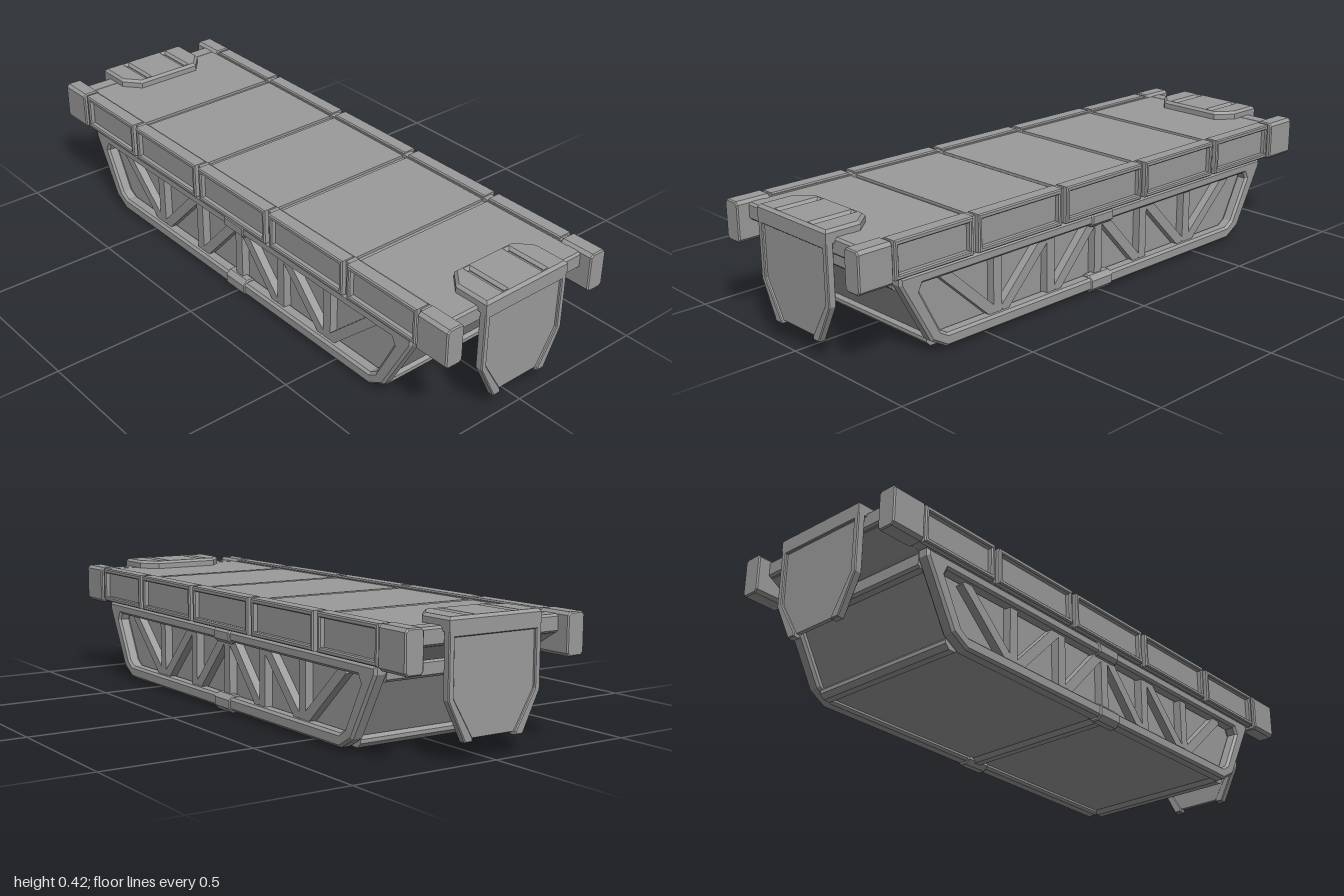
import * as THREE from 'three';

const material = new THREE.MeshStandardMaterial({ color: 0x9b9b9b, flatShading: true });

// Extrudes an outline, centred on its depth, with chamfers kept inside the given size
function slab(points, thickness, bevel = 0, holes = []) {
  const toVectors = (list) => list.map(([x, y]) => new THREE.Vector2(x, y));
  const shape = new THREE.Shape(toVectors(points));
  for (const h of holes) shape.holes.push(new THREE.Path(toVectors(h)));
  const geometry = new THREE.ExtrudeGeometry(shape, {
    depth: thickness - 2 * bevel, bevelEnabled: bevel > 0, bevelSize: bevel,
    bevelThickness: bevel, bevelOffset: -bevel, bevelSegments: 1, steps: 1,
  });
  return geometry.translate(0, 0, -(thickness - 2 * bevel) / 2);
}

// Same, with the outline in the side plane and the thickness along x
const sideSlab = (...args) => slab(...args).rotateY(Math.PI / 2);

const rect = (x0, x1, y0, y1) => [[x0, y0], [x1, y0], [x1, y1], [x0, y1]];

// Rectangle with its four corners cut
const cutRect = (x0, x1, y0, y1, c) => [
  [x0 + c, y0], [x1 - c, y0], [x1, y0 + c], [x1, y1 - c],
  [x1 - c, y1], [x0 + c, y1], [x0, y1 - c], [x0, y0 + c],
];

// Completes the right half of an outline by mirroring it
const mirrored = (half) => [...half, ...half.slice().reverse().map(([x, y]) => [-x, y])];

function add(parent, name, geometry, x = 0, y = 0, z = 0) {
  const mesh = new THREE.Mesh(geometry, material);
  mesh.name = name;
  mesh.position.set(x, y, z);
  parent.add(mesh);
  return mesh;
}

const box = (w, h, d) => new THREE.BoxGeometry(w, h, d);

// The five bays along the length
const bays = [[-0.868, -0.57], [-0.55, -0.198], [-0.178, 0.178], [0.198, 0.55], [0.57, 0.868]];

function buildDeck() {
  const deck = new THREE.Group();
  deck.name = 'deck';
  const profile = mirrored([[0.85, 0.278], [0.945, 0.335], [0.945, 0.383]]);
  add(deck, 'deckCore', sideSlab(profile, 0.54));
  bays.forEach(([z0, z1], i) => {
    const a = i === 0 ? -0.905 : z0;
    const b = i === 4 ? 0.905 : z1;
    add(deck, 'deckPanel', box(0.534, 0.02, b - a), 0, 0.382, (a + b) / 2);
  });
  for (const s of [-1, 1]) {
    add(deck, 'endBeam', sideSlab(cutRect(-0.03, 0.03, -0.028, 0.028, 0.007), 0.56), 0, 0.365, s * 0.928);
  }
  return deck;
}

function buildRail() {
  const rail = new THREE.Group();
  rail.name = 'sideRail';
  add(rail, 'railCore', box(0.037, 0.114, 1.8), 0.2885, 0.338, 0);
  for (const [z0, z1] of bays) {
    const mid = (z0 + z1) / 2;
    const half = (z1 - z0) / 2;
    // Recessed outer panel frame
    add(rail, 'railFrame', sideSlab(rect(-half, half, 0.278, 0.4), 0.025, 0.004,
      [rect(-half + 0.015, half - 0.015, 0.294, 0.383)]), 0.3125, 0, mid);
    add(rail, 'railCap', slab(cutRect(0.274, 0.314, 0.385, 0.4, 0.004), half * 2), 0, 0, mid);
  }
  for (const s of [-1, 1]) {
    add(rail, 'railEndBlock', slab(cutRect(0.265, 0.33, 0.27, 0.402, 0.01), 0.122, 0.004), 0, 0, s * 0.939);
  }
  return rail;
}

function buildTruss() {
  const truss = new THREE.Group();
  truss.name = 'sideTruss';
  const outer = mirrored([[0.67, 0.01], [0.73, 0.045], [0.842, 0.25], [0.842, 0.275]]);
  const inner = mirrored([[0.665, 0.053], [0.693, 0.07], [0.768, 0.215], [0.757, 0.238]]);
  add(truss, 'trussFrame', sideSlab(outer, 0.046, 0.008, [inner]), 0.289);
  // Posts and braces
  const strut = (z0, y0, z1, y1) => {
    const length = Math.hypot(z1 - z0, y1 - y0) + 0.02;
    const bar = add(truss, 'strut', box(0.03, 0.034, length), 0.28, (y0 + y1) / 2, (z0 + z1) / 2);
    bar.rotation.x = -Math.atan2(y1 - y0, z1 - z0);
  };
  for (const z of [-0.45, -0.22, 0, 0.22, 0.45]) strut(z, 0.045, z, 0.245);
  for (const s of [-1, 1]) {
    strut(s * 0.66, 0.235, s * 0.47, 0.06);
    strut(s * 0.25, 0.235, s * 0.42, 0.06);
    strut(s * 0.19, 0.06, s * 0.03, 0.235);
  }
  // Clamps at mid length
  add(truss, 'upperClamp', slab(cutRect(0.258, 0.317, 0.23, 0.28, 0.012), 0.1, 0.004));
  add(truss, 'lowerClamp', slab(cutRect(0.262, 0.316, 0, 0.06, 0.016), 0.1, 0.004));
  return truss;
}

function buildTub() {
  const tub = new THREE.Group();
  tub.name = 'tub';
  const profile = mirrored([[0.685, 0.025], [0.71, 0.05], [0.82, 0.25], [0.82, 0.278]]);
  add(tub, 'tubBody', sideSlab(profile, 0.534));
  for (const z of [-0.69, 0, 0.69]) {
    add(tub, 'bottomCrossBeam', sideSlab(cutRect(-0.028, 0.028, 0.011, 0.053, 0.015), 0.54), 0, 0, z);
  }
  for (const s of [-1, 1]) {
    add(tub, 'topCrossBeam', sideSlab(cutRect(-0.022, 0.022, 0.225, 0.277, 0.008), 0.54), 0, 0, s * 0.818);
  }
  return tub;
}

function buildFlap() {
  const flap = new THREE.Group();
  flap.name = 'endFlap';
  // Hanging plate with a raised rim, open at the bottom
  const plate = mirrored([[0.085, 0.07], [0.105, 0.07], [0.165, 0.188], [0.165, 0.4]]);
  add(flap, 'flapPlate', slab(plate, 0.014), 0, 0, 0.974);
  const rim = mirrored([[0.15, 0.362], [0.15, 0.19], [0.08, 0.072], [0.08, 0.06], [0.108, 0.06], [0.17, 0.185], [0.17, 0.408]]);
  add(flap, 'flapRim', slab(rim, 0.026, 0.003), 0, 0, 0.977);
  // Cap resting on the deck, with two slots
  const half = [[0.12, -0.81], [0.17, -0.868], [0.17, -0.99]];
  const slots = [-0.083, 0.083].map((x) => rect(x - 0.005, x + 0.005, -0.968, -0.832));
  add(flap, 'flapCapBase', slab(mirrored(half), 0.03).rotateX(-Math.PI / 2), 0, 0.393, 0);
  add(flap, 'flapCap', slab(mirrored(half), 0.034, 0.009, slots).rotateX(-Math.PI / 2), 0, 0.403, 0);
  // Turn the cap outlines to the front end
  return flap;
}

export function createModel() {
  const model = new THREE.Group();
  model.name = 'bridgeSection';
  model.add(buildDeck(), buildTub());
  // Opposite sides and ends are the same parts turned half way round
  for (const build of [buildRail, buildTruss, buildFlap]) {
    for (const angle of [0, Math.PI]) {
      const part = build();
      part.rotation.y = angle;
      model.add(part);
    }
  }
  return model;
}
